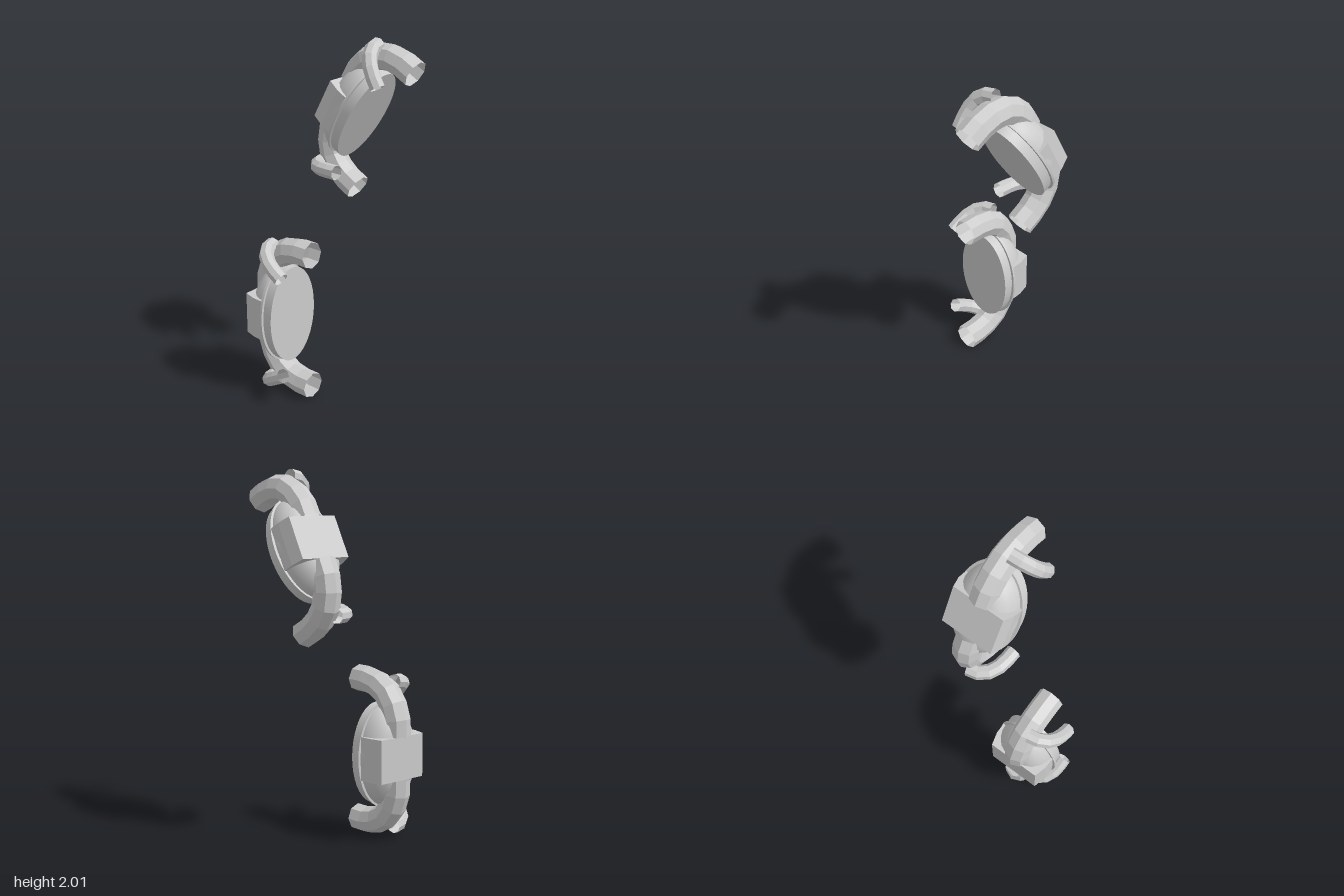
import * as THREE from 'three';
import { toCreasedNormals } from 'three/addons/utils/BufferGeometryUtils.js';

const smooth = new THREE.MeshStandardMaterial({ color: 0xcccccc });
const faceted = new THREE.MeshStandardMaterial({ color: 0xcccccc, flatShading: true, side: THREE.DoubleSide });

function add(group, name, geometry, material) {
  const mesh = new THREE.Mesh(geometry, material);
  mesh.name = name;
  group.add(mesh);
}

// Elliptical turned body: profile of [radius, depth behind the face], squashed in z
function oval(profile, squash) {
  const g = new THREE.LatheGeometry(profile.map(p => new THREE.Vector2(...p)), 40);
  g.scale(1, 1, squash);
  g.rotateZ(Math.PI / 2);
  return toCreasedNormals(g, 0.55);
}

// Open eight-sided pipe through a few points
function pipe(points, radius, segments, side) {
  const path = new THREE.CatmullRomCurve3(points.map(([x, y, z]) => new THREE.Vector3(x, y * side, z)));
  return new THREE.TubeGeometry(path, segments, radius, 8, false);
}

const mainPath = [
  [-0.163, 0.12, 0], [-0.163, 0.19, 0], [-0.138, 0.27, 0],
  [-0.078, 0.348, 0], [0.027, 0.393, 0], [0.147, 0.398, 0],
];
const sidePath = [
  [-0.108, 0.405, 0.03], [-0.095, 0.398, 0.09], [-0.055, 0.373, 0.14],
  [0.005, 0.335, 0.163], [0.077, 0.293, 0.168],
];

// One unit: its flat oval face is at x = 0 and points to +x
function createUnit(name) {
  const unit = new THREE.Group();
  unit.name = name;

  // Domed shell closed by the flat face
  add(unit, 'domedBody', oval([
    [0, 0], [0.284, 0], [0.284, 0.065], [0.278, 0.1], [0.254, 0.14],
    [0.21, 0.177], [0.15, 0.2], [0.1, 0.205], [0, 0.205],
  ], 0.625), smooth);

  // Thin rim round the shell
  add(unit, 'rim', oval([
    [0.27, 0.055], [0.294, 0.055], [0.294, 0.068], [0.27, 0.068],
  ], 0.655), smooth);

  // Tapered block across the back of the dome
  const outline = new THREE.Shape([
    [-0.06, -0.174], [-0.06, 0.174], [-0.133, 0.172],
    [-0.207, 0.152], [-0.207, -0.152], [-0.133, -0.172],
  ].map(p => new THREE.Vector2(...p)));
  const block = new THREE.ExtrudeGeometry(outline, { depth: 0.24, bevelEnabled: false });
  block.translate(0, 0, -0.12);
  block.rotateX(Math.PI / 2);
  add(unit, 'backBlock', block, faceted);

  // Large curved pipe and small side branch at each end
  for (const [label, side] of [['upper', 1], ['lower', -1]]) {
    add(unit, label + 'MainPipe', pipe(mainPath, 0.075, 6, side), faceted);
    add(unit, label + 'SidePipe', pipe(sidePath, 0.041, 5, side), faceted);
  }
  return unit;
}

export function createModel() {
  const model = new THREE.Group();
  model.name = 'pipedUnits';

  const lower = createUnit('lowerUnit');
  lower.position.set(-0.157, 0.482, 0.192);

  const upper = createUnit('upperUnit');
  upper.position.set(0.032, 1.575, -0.21);
  upper.rotation.z = -0.49;

  model.add(lower, upper);
  return model;
}
